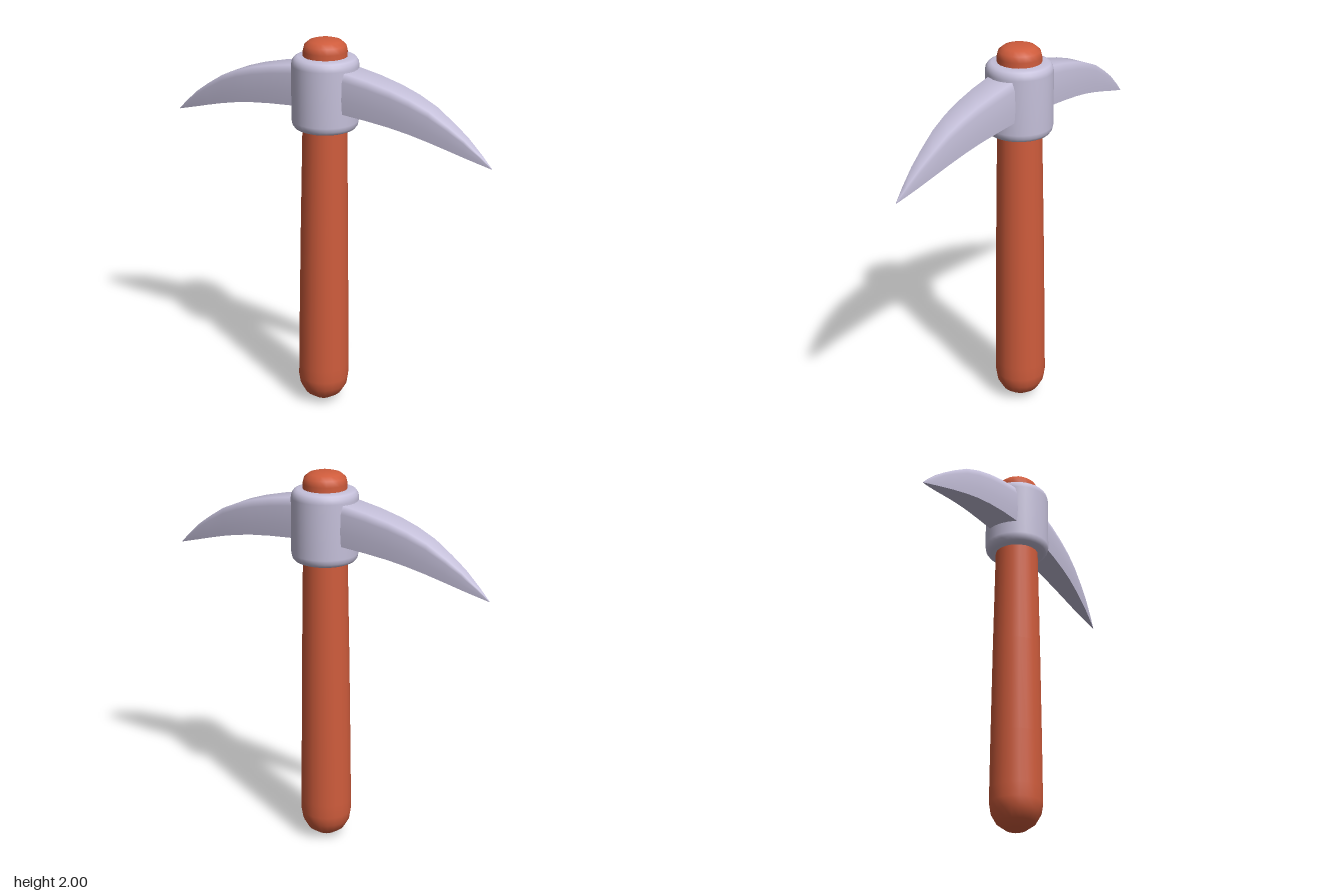
import * as THREE from 'three';

const wood = new THREE.MeshStandardMaterial({ color: 0xcf5c3c });
wood.name = 'reddish wood';
const steel = new THREE.MeshStandardMaterial({ color: 0xc5c0da });
steel.name = 'pale steel';

function lathe(name, profile, segments, material) {
  const points = profile.map(([r, y]) => new THREE.Vector2(r, y));
  const mesh = new THREE.Mesh(new THREE.LatheGeometry(points, segments), material);
  mesh.name = name;
  return mesh;
}

// Blade stations: x, lower y, upper y, half width
const stations = [
  [0.08, 1.66, 1.868, 0.088],
  [0.165, 1.655, 1.86, 0.086],
  [0.28, 1.645, 1.84, 0.081],
  [0.4, 1.63, 1.812, 0.073],
  [0.5, 1.612, 1.78, 0.065],
  [0.6, 1.588, 1.737, 0.054],
  [0.7, 1.56, 1.675, 0.041],
  [0.78, 1.536, 1.62, 0.029],
  [0.86, 1.512, 1.552, 0.014],
  [0.92, 1.494, 1.496, 0.001],
];

// Sides and top run as one smooth strip, the underside is a separate flat one
const upper = [[-0.95, 0], [-1, 0.35], [-0.97, 0.8], [-0.85, 1], [0.85, 1], [0.97, 0.8], [1, 0.35], [0.95, 0]];
const under = [[0.95, 0], [-0.95, 0]];

function strip(section) {
  const positions = [], index = [], n = section.length;
  stations.forEach(([x, low, high, half], i) => {
    section.forEach(([u, v], j) => {
      positions.push(x, low + (high - low) * v, half * u);
      if (i < stations.length - 1 && j < n - 1) {
        const a = i * n + j, b = a + 1, c = a + n, d = c + 1;
        index.push(a, b, c, b, d, c);
      }
    });
  });
  const g = new THREE.BufferGeometry();
  g.setAttribute('position', new THREE.Float32BufferAttribute(positions, 3));
  g.setIndex(index);
  g.computeVertexNormals();
  return g;
}

export function createModel() {
  const model = new THREE.Group();
  model.name = 'pickaxe';

  // Tapered handle with rounded ends, leaning very slightly
  const handle = lathe('handle', [
    [0, 0], [0.05, 0.016], [0.098, 0.05], [0.126, 0.1], [0.134, 0.15], [0.133, 0.22],
    [0.13, 0.5], [0.123, 1.0], [0.113, 1.55], [0.111, 1.94], [0.104, 1.97], [0.08, 1.99], [0.045, 2], [0, 2],
  ], 20, wood);
  const p = handle.geometry.attributes.position;
  for (let i = 0; i < p.count; i++) p.setX(i, p.getX(i) - 0.01 * (1 - p.getY(i) / 2));
  model.add(handle);

  // Rounded collar gripping the handle
  model.add(lathe('collar', [
    [0.1, 1.545], [0.138, 1.546], [0.154, 1.553], [0.165, 1.568], [0.169, 1.59],
    [0.169, 1.87], [0.165, 1.892], [0.154, 1.907], [0.138, 1.914], [0.1, 1.915],
  ], 32, steel));

  // Two curved blades
  const parts = { bladeBody: strip(upper), bladeUnderside: strip(under) };
  for (const [name, turn] of [['leftBlade', 0], ['rightBlade', Math.PI]]) {
    const blade = new THREE.Group();
    blade.name = name;
    for (const [part, geometry] of Object.entries(parts)) {
      const mesh = new THREE.Mesh(geometry, steel);
      mesh.name = part;
      blade.add(mesh);
    }
    blade.rotation.y = turn;
    model.add(blade);
  }
  return model;
}
